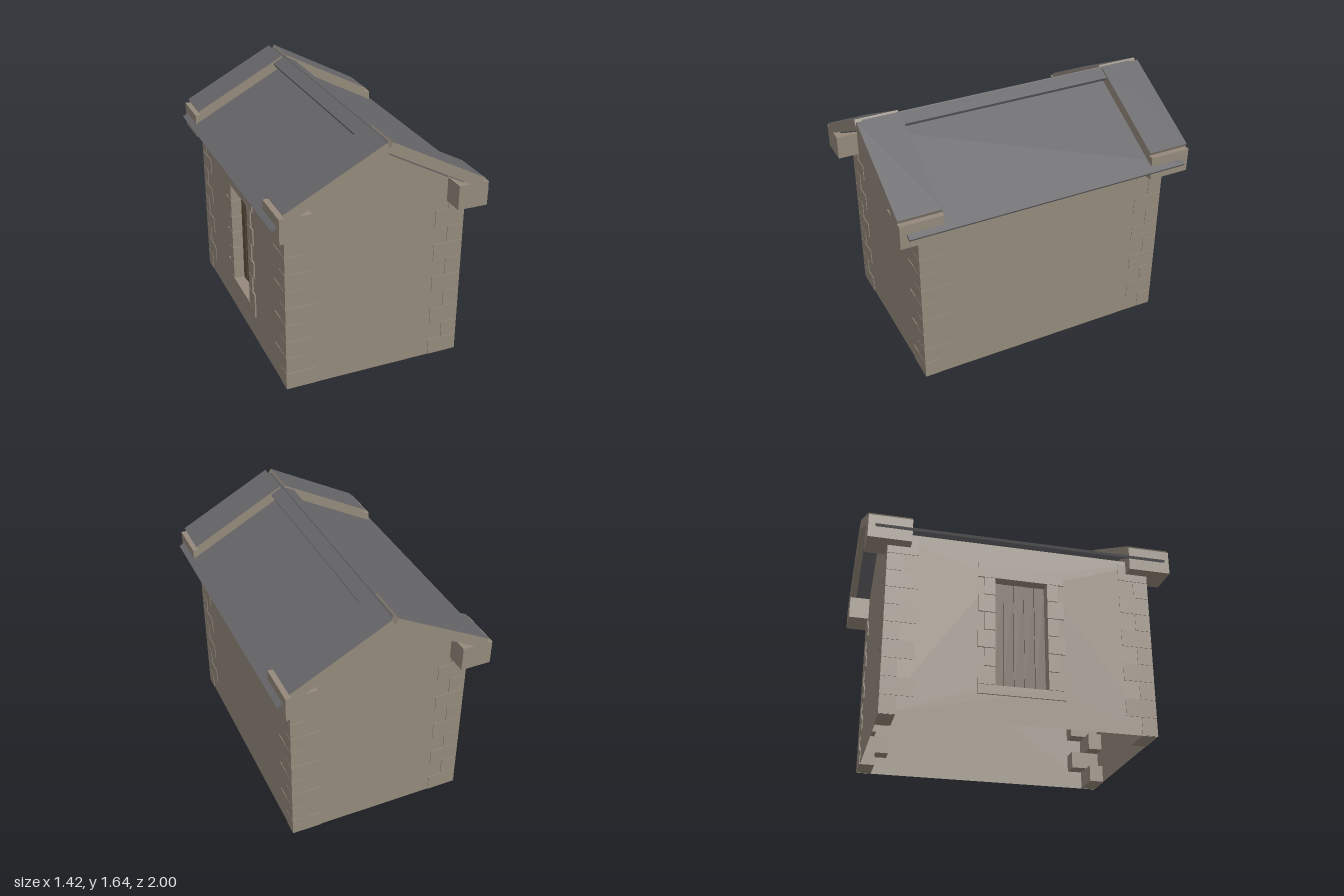
import * as THREE from 'three';

export function createModel() {
  const group = new THREE.Group();
  const mat = (name, color) => {
    const m = new THREE.MeshStandardMaterial({ color });
    m.name = name;
    return m;
  };
  const stone = mat('stone', 0x94897b);
  const wallStone = mat('wallStone', 0x94897b);
  wallStone.side = THREE.DoubleSide;
  const slate = mat('slate', 0x666568);
  const wood = mat('wood', 0x5f4f3c);

  const add = (name, geometry, material, x = 0, y = 0, z = 0) => {
    const mesh = new THREE.Mesh(geometry, material);
    mesh.name = name;
    mesh.position.set(x, y, z);
    group.add(mesh);
    return mesh;
  };
  const box = (name, w, h, d, material, x, y, z) =>
    add(name, new THREE.BoxGeometry(w, h, d), material, x, y, z);

  const W = 0.595, D = 0.86, EAVE = 1.22;

  // Gable walls
  const gable = new THREE.Shape();
  gable.moveTo(-W, 0);
  gable.lineTo(W, 0);
  gable.lineTo(W, EAVE);
  gable.lineTo(0, 1.537);
  gable.lineTo(-W, EAVE);
  for (const s of [1, -1]) {
    const wall = add('gableWall', new THREE.ShapeGeometry(gable), wallStone, 0, 0, s * D);
    if (s < 0) wall.rotation.y = Math.PI;
  }

  // Long walls, one with a window opening
  for (const s of [1, -1]) {
    const side = new THREE.Shape();
    side.moveTo(-D, 0);
    side.lineTo(D, 0);
    side.lineTo(D, EAVE);
    side.lineTo(-D, EAVE);
    if (s < 0) {
      const hole = new THREE.Path();
      hole.moveTo(-0.18, 0.24);
      hole.lineTo(-0.18, 0.98);
      hole.lineTo(0.18, 0.98);
      hole.lineTo(0.18, 0.24);
      side.holes.push(hole);
    }
    add('sideWall', new THREE.ShapeGeometry(side), wallStone, s * W, 0, 0).rotation.y = s * Math.PI / 2;
  }

  // Corner stones, turned alternately
  const course = 0.119;
  for (const sx of [1, -1]) for (const sz of [1, -1]) {
    for (let i = 0; i < 10; i++) {
      const w = i % 2 ? 0.11 : 0.2, d = i % 2 ? 0.2 : 0.1;
      box('cornerStone', w, course - 0.004, d, stone,
        sx * (W + 0.004 - w / 2), (i + 0.5) * course, sz * (D + 0.005 - d / 2));
    }
  }

  // Window surround with alternating jamb stones
  const frameX = -W + 0.05;
  box('windowSill', 0.12, 0.06, 0.56, stone, frameX, 0.21, 0);
  box('windowLintel', 0.12, 0.1, 0.56, stone, frameX, 1.025, 0);
  const jambH = (0.975 - 0.24) / 6;
  for (const s of [1, -1]) for (let i = 0; i < 6; i++) {
    const w = i % 2 ? 0.07 : 0.11;
    box('jambStone', 0.12, jambH - 0.004, w, stone, frameX, 0.24 + (i + 0.5) * jambH, s * (0.17 + w / 2));
  }
  // Vertical shutter boards
  for (let i = 0; i < 5; i++) {
    box('shutterBoard', i % 2 ? 0.02 : 0.026, 0.735, 0.066, wood, -W + 0.075, 0.6075, (i - 2) * 0.068);
  }

  // Sloping slab given the inner and outer ends of its top face
  const slab = (name, a, b, thick, depth, z, side, material) => {
    const dx = b[0] - a[0], dy = b[1] - a[1];
    const len = Math.hypot(dx, dy);
    const x = (a[0] + b[0]) / 2 + dy / len * thick / 2;
    const y = (a[1] + b[1]) / 2 - dx / len * thick / 2;
    const mesh = box(name, len, thick, depth, material, side * x, y, z);
    mesh.rotation.z = side * Math.atan2(dy, dx);
  };
  const copingMats = [stone, stone, slate, stone, stone, stone];

  for (const s of [1, -1]) {
    slab('roofSlope', [0.005, 1.577], [0.71, 1.202], 0.016, 1.91, 0, s, slate);
    slab('ridgeCap', [0.004, 1.638], [0.085, 1.595], 0.025, 1.9, 0, s, slate);
    for (const z of [0.86, -0.86]) {
      slab('gableCoping', [0.02, 1.643], [0.65, 1.31], 0.068, 0.28, z, s, copingMats);
      // Kneeler block at the foot of the coping
      box('kneelerStone', 0.2, 0.16, 0.28, stone, s * 0.574, 1.205, z);
    }
  }

  // Ridge beam set on edge
  box('ridgeBeam', 0.034, 0.034, 1.9, stone, 0, 1.553, 0).rotation.z = Math.PI / 4;

  return group;
}
